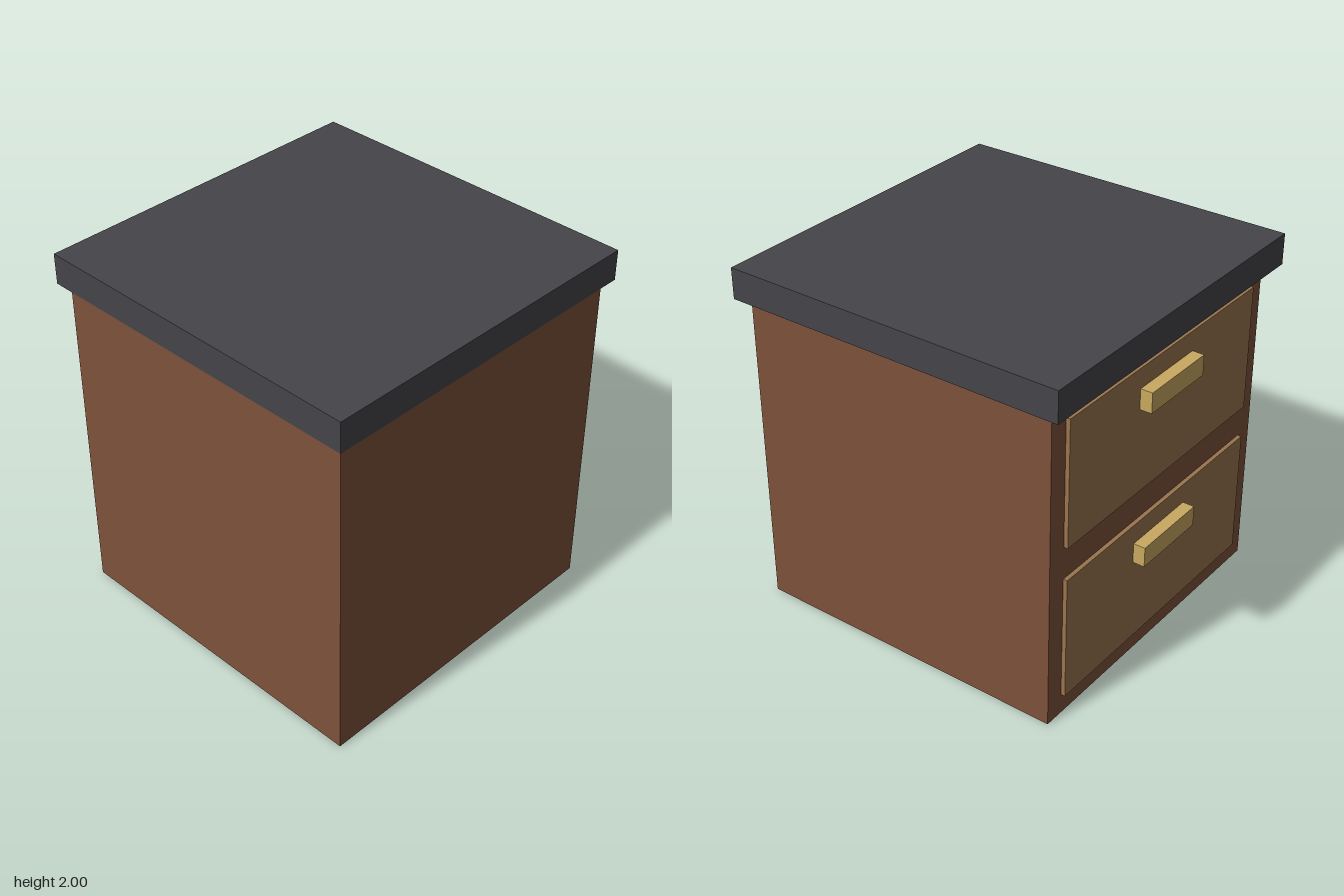
import * as THREE from 'three';

const material = (name, color) => {
  const m = new THREE.MeshStandardMaterial({ color });
  m.name = name;
  return m;
};

// Box given by its [min, max] range on each axis
function block(name, mat, [x0, x1], [y0, y1], [z0, z1]) {
  const mesh = new THREE.Mesh(new THREE.BoxGeometry(x1 - x0, y1 - y0, z1 - z0), mat);
  mesh.position.set((x0 + x1) / 2, (y0 + y1) / 2, (z0 + z1) / 2);
  mesh.name = name;
  return mesh;
}

export function createModel() {
  const wood = material('brown wood', 0x7d523b);
  const stone = material('dark grey worktop', 0x454449);
  const panel = material('light wood', 0x9b754e);
  const brass = material('brass', 0xc9a961);

  const model = new THREE.Group();
  model.name = 'drawerCabinet';

  // Cabinet sits flush with the worktop on the front and the -x side
  model.add(block('cabinetBody', wood, [-0.97, 0.855], [0, 1.83], [-0.855, 0.97]));
  model.add(block('worktop', stone, [-0.97, 0.97], [1.83, 2], [-0.97, 0.97]));

  // Two drawers on the back, each with a bar handle
  for (const [label, y] of [['lower', 0.115], ['upper', 1.008]]) {
    const drawer = new THREE.Group();
    drawer.name = label + 'Drawer';
    drawer.add(block('drawerFront', panel, [-0.86, 0.745], [y, y + 0.708], [-0.878, -0.855]));
    drawer.add(block('handle', brass, [-0.287, 0.172], [y + 0.481, y + 0.595], [-0.945, -0.878]));
    model.add(drawer);
  }
  return model;
}
